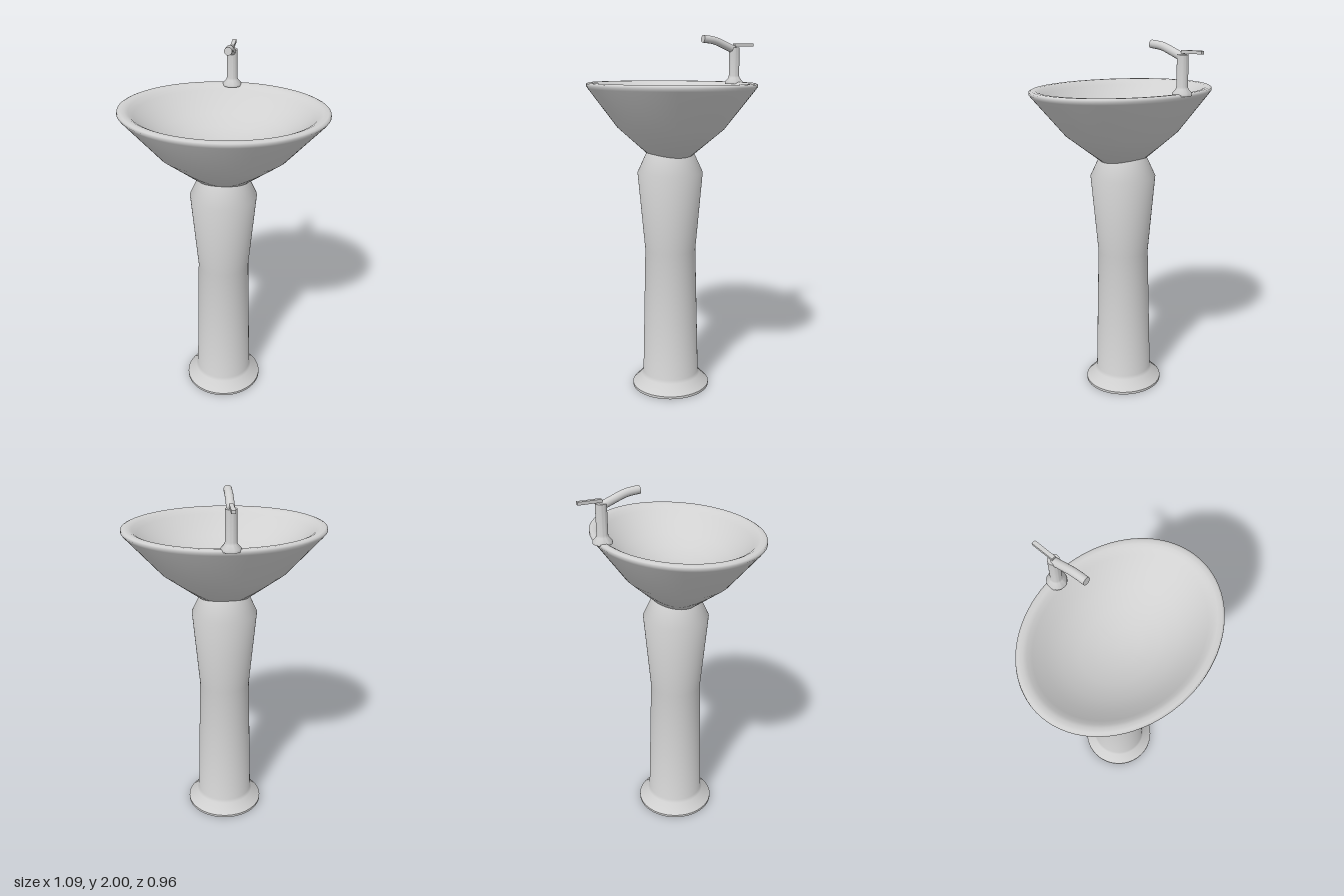
import * as THREE from 'three';
import { toCreasedNormals } from 'three/addons/utils/BufferGeometryUtils.js';

const AXIS_Z = 0.045; // shared centre of pedestal and bowl
const TAP_Z = -0.361;

export function createModel() {
  const model = new THREE.Group();
  model.name = 'pedestalSink';

  const ceramic = new THREE.MeshStandardMaterial({ color: 0xd0d0d0, side: THREE.DoubleSide });
  ceramic.name = 'lightGrey';

  const add = (name, geometry, parent, x = 0, y = 0, z = 0) => {
    const mesh = new THREE.Mesh(geometry, ceramic);
    mesh.name = name;
    mesh.position.set(x, y, z);
    parent.add(mesh);
    return mesh;
  };

  // Turned part from [radius, height] pairs, optionally squashed into an oval
  const turned = (profile, segments, depth = 1, crease = 0.95) => {
    const points = profile.map(([r, y]) => new THREE.Vector2(r, y));
    const geometry = new THREE.LatheGeometry(points, segments);
    geometry.scale(1, 1, depth);
    return toCreasedNormals(geometry, crease);
  };

  // Pedestal: flared foot, waisted column and tapered shoulder
  add('pedestal', turned([
    [0, 0], [0.221, 0], [0.221, 0.014], [0.169, 0.067], [0.16, 0.085],
    [0.142, 0.82], [0.181, 1.26], [0.13, 1.37], [0, 1.37],
  ], 64, 1, 0.7), model, 0, 0, AXIS_Z);

  // Oval bowl: outer wall, rolled rim and shallow dished inside
  add('bowl', turned([
    [0, 1.338], [0.135, 1.35], [0.345, 1.505], [0.533, 1.715], [0.544, 1.729],
    [0.542, 1.741], [0.53, 1.746], [0.505, 1.745], [0.485, 1.736], [0.46, 1.716],
    [0.4, 1.668], [0.32, 1.62], [0.22, 1.578], [0.11, 1.553], [0, 1.545],
  ], 80, 0.802, 1.2), model, 0, 0, AXIS_Z);

  // Tap: flange and upright
  const tap = new THREE.Group();
  tap.name = 'tap';
  model.add(tap);
  add('tapBody', turned([
    [0, 1.735], [0.05, 1.735], [0.05, 1.748], [0.032, 1.768],
    [0.029, 1.78], [0.029, 1.935], [0, 1.935],
  ], 32), tap, 0, 0, TAP_Z);

  // Arched spout, closed at the mouth
  const arch = new THREE.CatmullRomCurve3([
    new THREE.Vector3(0, 1.92, -0.362),
    new THREE.Vector3(0, 1.947, -0.295),
    new THREE.Vector3(0, 1.97, -0.23),
    new THREE.Vector3(0, 1.979, -0.158),
  ]);
  add('spout', new THREE.TubeGeometry(arch, 20, 0.021, 20, false), tap);
  const mouth = add('spoutMouth', new THREE.CircleGeometry(0.021, 20), tap);
  mouth.position.copy(arch.getPoint(1));
  mouth.lookAt(arch.getPoint(1).add(arch.getTangent(1)));

  // Flat lever pointing backwards
  add('lever', new THREE.BoxGeometry(0.021, 0.016, 0.125), tap, 0, 1.949, -0.419);

  return model;
}
